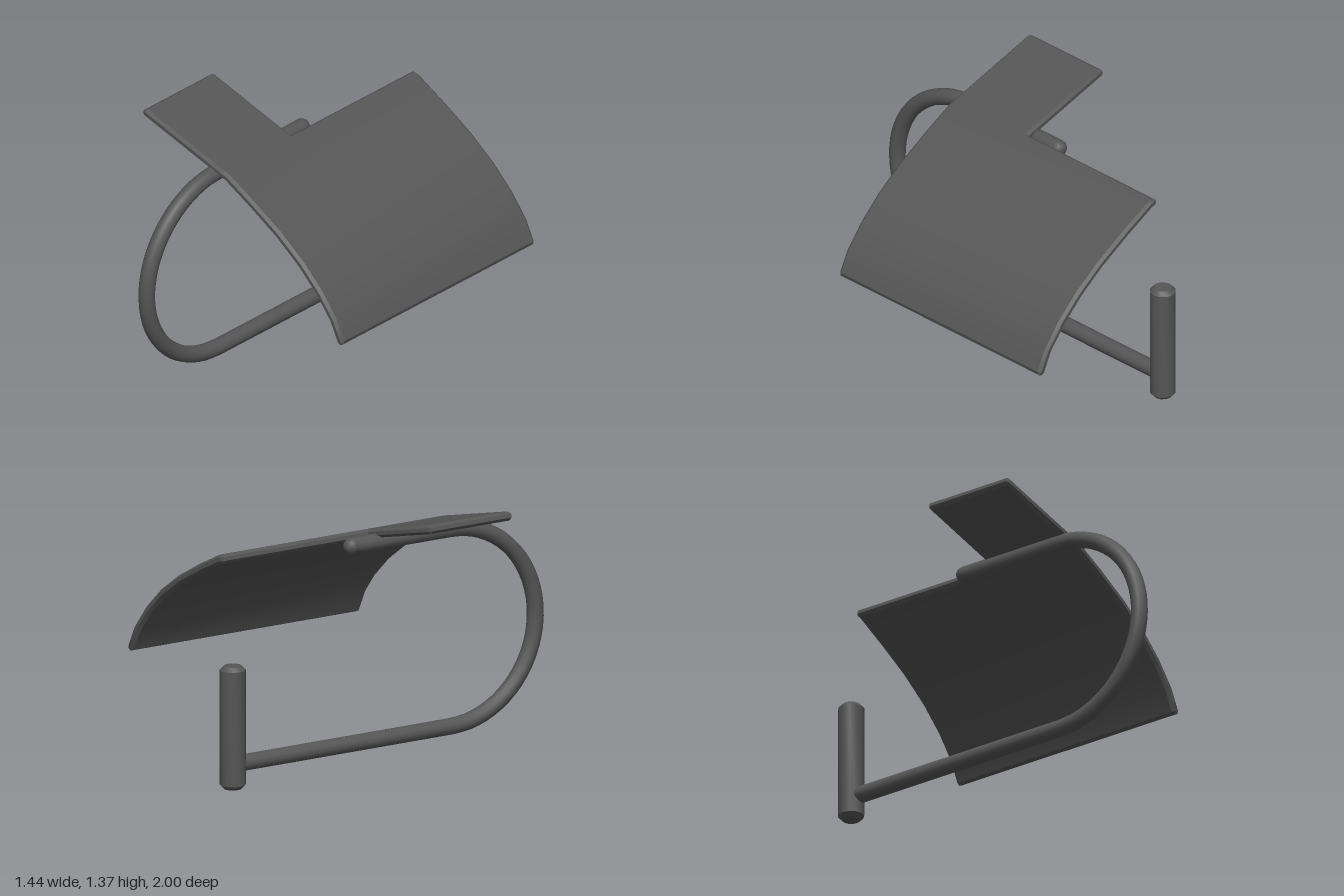
import * as THREE from 'three';
import { toCreasedNormals } from 'three/addons/utils/BufferGeometryUtils.js';

const material = new THREE.MeshStandardMaterial({ color: 0x555555 });
const ROD_X = -0.225;

function addMesh(group, name, geometry) {
  const mesh = new THREE.Mesh(toCreasedNormals(geometry, 0.55), material);
  mesh.name = name;
  group.add(mesh);
  return mesh;
}

// Chamfered slab that follows a centre line in x/y and spans zBack..zFront.
function bentPlate(line, zBack, zFront) {
  const half = 0.024, lip = 0.01, c = 0.016;
  const pts = line.map(([x, y]) => new THREE.Vector2(x, y));
  const n = pts.length;
  const toward = (a, b) => a.clone().add(b.clone().sub(a).setLength(c));
  // Extra stations just inside both ends carry the end chamfers.
  const stations = [pts[0], toward(pts[0], pts[1]), ...pts.slice(1, -1),
    toward(pts[n - 1], pts[n - 2]), pts[n - 1]];
  const last = stations.length - 1;
  const positions = [], index = [];
  stations.forEach((p, i) => {
    const tip = i === 0 || i === last;
    const t = stations[Math.min(i + 1, last)].clone().sub(stations[Math.max(i - 1, 0)]).normalize();
    const h = tip ? lip : half;
    const zf = zFront - (tip ? c / 2 : 0), zb = zBack + (tip ? c / 2 : 0);
    const ring = [[zf, lip], [zFront - c, h], [zBack + c, h], [zb, lip],
      [zb, -lip], [zBack + c, -h], [zFront - c, -h], [zf, -lip]];
    for (const [z, o] of ring) positions.push(p.x - t.y * o, p.y + t.x * o, z);
  });
  for (let i = 0; i < last; i++) {
    for (let j = 0; j < 8; j++) {
      const a = i * 8 + j, a2 = i * 8 + (j + 1) % 8;
      index.push(a, a + 8, a2, a2, a + 8, a2 + 8);
    }
  }
  for (let j = 1; j < 7; j++) {
    index.push(0, j, j + 1, last * 8, last * 8 + j + 1, last * 8 + j);
  }
  const geometry = new THREE.BufferGeometry();
  geometry.setAttribute('position', new THREE.Float32BufferAttribute(positions, 3));
  geometry.setIndex(index);
  return geometry;
}

export function createModel() {
  const model = new THREE.Group();
  model.name = 'curvedPlateOnRod';

  // Curved plate: wide rear panel plus a narrower straight tab at the front
  const curve = [[-0.12, 1.2], [0.055, 1.115], [0.25, 1.01], [0.41, 0.9],
    [0.54, 0.783], [0.64, 0.663], [0.702, 0.54]];
  addMesh(model, 'curvedPanel', bentPlate([[-0.16, 1.21], ...curve], -0.95, 0.48));
  addMesh(model, 'frontTab', bentPlate([[-0.718, 1.353], [-0.16, 1.21], curve[0]], -0.04, 0.48));

  // Bent rod: along the bottom, round the front and back under the plate
  const cz = 0.43, cy = 0.655, r = 0.527;
  const bend = [];
  for (let i = 0; i <= 16; i++) {
    const a = -Math.PI / 2 + Math.PI * i / 16;
    bend.push(new THREE.Vector3(ROD_X, cy + r * Math.sin(a), cz + r * Math.cos(a)));
  }
  const upperEnd = new THREE.Vector3(ROD_X, cy + r, -0.19);
  const path = new THREE.CurvePath();
  path.add(new THREE.LineCurve3(new THREE.Vector3(ROD_X, cy - r, -0.93), bend[0]));
  path.add(new THREE.CatmullRomCurve3(bend));
  path.add(new THREE.LineCurve3(bend[16], upperEnd));
  addMesh(model, 'bentRod', new THREE.TubeGeometry(path, 72, 0.044, 12, false));

  // Rounded end of the rod under the plate
  const cap = addMesh(model, 'rodEnd', new THREE.SphereGeometry(0.044, 12, 4, 0, Math.PI * 2, 0, Math.PI / 2));
  cap.rotation.x = -Math.PI / 2;
  cap.position.copy(upperEnd);

  // Upright handle with chamfered ends
  const profile = [[0, 0], [0.046, 0], [0.068, 0.022], [0.068, 0.633], [0.046, 0.655], [0, 0.655]];
  const handle = addMesh(model, 'uprightHandle',
    new THREE.LatheGeometry(profile.map(([x, y]) => new THREE.Vector2(x, y)), 12));
  handle.position.set(ROD_X, 0, -0.932);

  return model;
}
